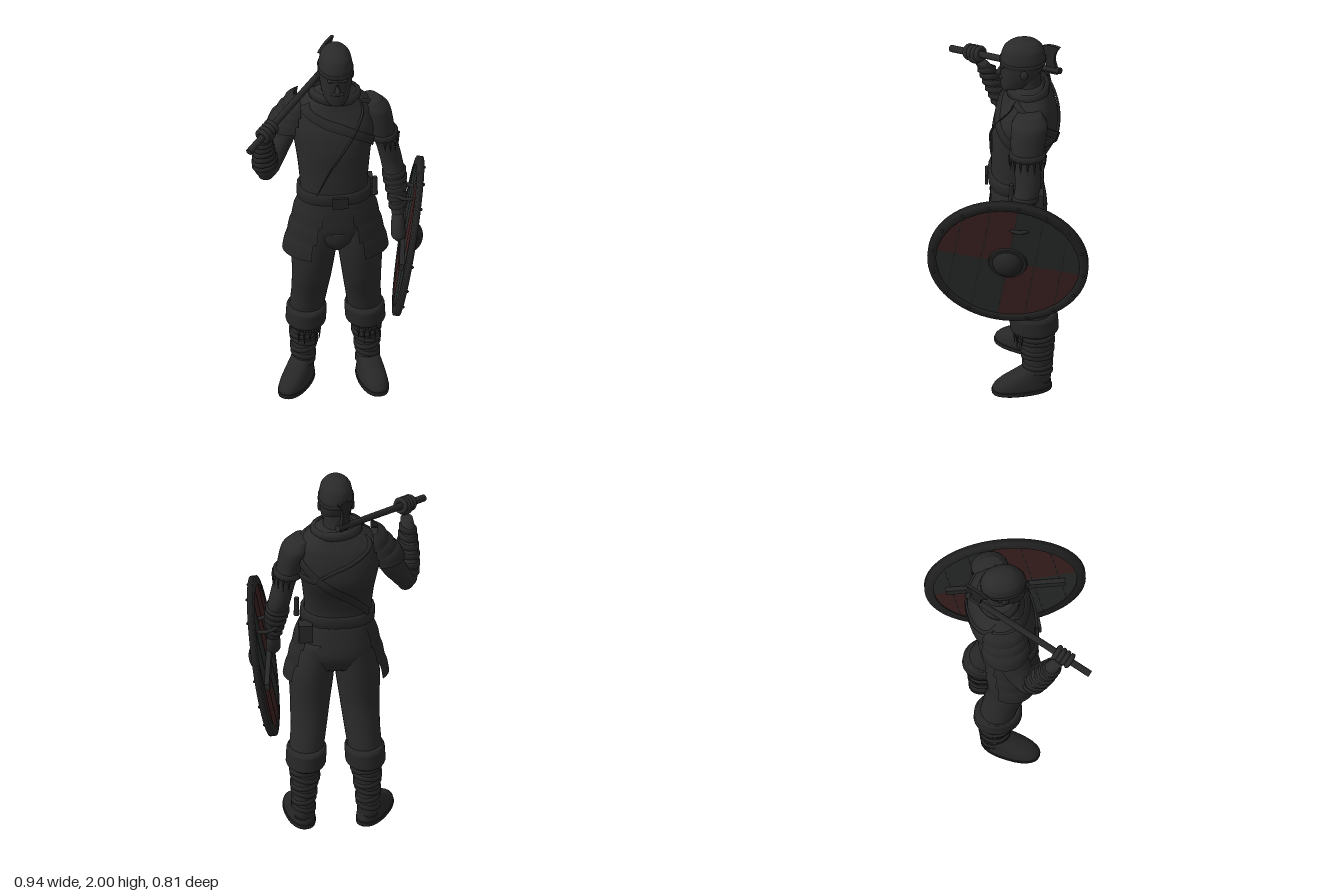
import * as THREE from 'three';

const mat = (name, color) => {
  const m = new THREE.MeshStandardMaterial({ color, side: THREE.DoubleSide });
  m.name = name;
  return m;
};
const V = (x, y, z) => new THREE.Vector3(x, y, z);

// Smooth sampling of rows [x, y, z, rx, rz], listed from top to bottom
function sampler(rows) {
  const centre = new THREE.CatmullRomCurve3(rows.map(r => V(r[0], r[1], r[2])));
  const radius = new THREE.CatmullRomCurve3(rows.map(r => V(r[3], r[4], 0)));
  return (t, a, grow = 0, power = 2) => {
    const c = centre.getPoint(t), r = radius.getPoint(t), e = 2 / power;
    const cs = Math.cos(a), sn = Math.sin(a);
    return V(c.x + Math.sign(cs) * Math.abs(cs) ** e * (r.x + grow), c.y,
      c.z + Math.sign(sn) * Math.abs(sn) ** e * (r.y + grow));
  };
}

// Surface from a grid of points; point(i, j) with i downwards, j around
function grid(n, m, point, closed, caps) {
  const pos = [], idx = [], w = closed ? m : m + 1;
  for (let i = 0; i <= n; i++) for (let j = 0; j < w; j++) pos.push(...point(i / n, j / m).toArray());
  for (let i = 0; i < n; i++) for (let j = 0; j < m; j++) {
    const a = i * w + j, b = i * w + (j + 1) % w;
    idx.push(a, b, a + w, b, b + w, a + w);
  }
  if (caps) for (const row of [0, n]) {
    const c = V(0, 0, 0), k = pos.length / 3;
    for (let j = 0; j < m; j++) c.add(point(row / n, j / m));
    pos.push(...c.divideScalar(m).toArray());
    for (let j = 0; j < m; j++) {
      const a = row * w + j, b = row * w + (j + 1) % m;
      row ? idx.push(k, a, b) : idx.push(k, b, a);
    }
  }
  const g = new THREE.BufferGeometry();
  g.setAttribute('position', new THREE.Float32BufferAttribute(pos, 3));
  g.setIndex(idx);
  g.computeVertexNormals();
  return g;
}
const loft = (rows, power = 2, seg = 28) => {
  const s = sampler(rows);
  return grid((rows.length - 1) * 5, seg, (u, v) => s(u, v * 2 * Math.PI, 0, power), true, true);
};
// Part of a lofted ring, for overlapping plates
const shell = (rows, a0, a1) => {
  const s = sampler(rows);
  return grid(6, 16, (u, v) => s(u, a0 + (a1 - a0) * v), false, false);
};
// Raised band wrapped round a limb at t, sloping sideways by tilt
const band = (rows, t, h, grow, tilt = 0, power = 2) => {
  const s = sampler(rows), ring = [[-1, -0.003], [-0.8, 1], [0.8, 1], [1, -0.003]];
  return grid(3, 24, (u, v) => {
    const [k, g] = ring[Math.round(u * 3)], a = v * 2 * Math.PI;
    const p = s(t, a, g > 0 ? grow : g, power);
    p.y += -k * h / 2 + tilt * Math.cos(a);
    return p;
  }, true, false);
};
const basis = (x, y, z) => new THREE.Quaternion().setFromRotationMatrix(new THREE.Matrix4().makeBasis(x, y, z));

export function createModel() {
  const root = new THREE.Group();
  const cloth = mat('charcoal cloth', 0x2a2a2a), leather = mat('dark leather', 0x272727);
  const red = mat('dark red paint', 0x3c2020), slate = mat('slate paint', 0x282b2b);
  const iron = mat('blackened iron', 0x232323);
  const add = (name, geo, m, parent = root, x = 0, y = 0, z = 0) => {
    const mesh = new THREE.Mesh(geo, m);
    mesh.name = name;
    mesh.position.set(x, y, z);
    parent.add(mesh);
    return mesh;
  };

  // Torso and hips
  const torso = [[.01, 1.74, -.1, .075, .075], [.01, 1.7, -.105, .135, .1], [0, 1.64, -.11, .205, .125],
    [0, 1.55, -.1, .215, .155], [0, 1.45, -.09, .195, .165], [0, 1.33, -.06, .178, .137],
    [0, 1.22, -.045, .17, .125], [.005, 1.12, -.05, .185, .135], [.01, 1, -.06, .195, .142], [.01, .9, -.06, .15, .11]];
  add('torso', loft(torso, 2.3, 40), cloth);
  add('collar', band(torso, .6 / 9, .045, .02, -.01), cloth);
  add('belt', band(torso, 6.35 / 9, .065, .014, 0, 2.3), leather);
  add('buckle', new THREE.BoxGeometry(.08, .06, .015), iron, root, .02, 1.18, .103);
  add('pouch', new THREE.BoxGeometry(.07, .1, .06), leather, root, .17, 1.13, -.15);
  add('knifeHandle', new THREE.CylinderGeometry(.012, .015, .1, 10), leather, root, .205, 1.2, -.02);

  // Straps laid over the torso from (row, angle) to (row, angle)
  const skin = sampler(torso);
  const strap = (r0, a0, r1, a1) => add('strap', grid(24, 4, (u, v) => {
    const k = [[-1, .001], [-1, .012], [1, .012], [1, .001], [-1, .001]][Math.round(v * 4)];
    return skin((r0 + (r1 - r0) * u + k[0] * .17) / 9, a0 + (a1 - a0) * u + k[0] * .06, k[1], 2.3);
  }, false, false), leather);
  strap(1, .6, 6, 2.05);
  strap(1, .6, 6, -2.5);
  strap(1.3, 2.7, 3.9, .3);
  strap(3.9, .3, 3.7, -1);
  strap(3.7, -1, 1.3, -2.74);

  // Head
  add('neck', loft([[.01, 1.82, -.1, .062, .07], [.01, 1.75, -.1, .066, .072], [.01, 1.68, -.105, .09, .08]]), cloth);
  const head = [[.012, 2, -.085, .012, .012], [.012, 1.985, -.085, .048, .065], [.012, 1.95, -.082, .076, .099],
    [.012, 1.89, -.08, .086, .113], [.012, 1.84, -.075, .084, .107], [.012, 1.79, -.06, .077, .092],
    [.012, 1.745, -.045, .066, .078], [.012, 1.71, -.03, .045, .056], [.012, 1.697, -.025, .02, .025]];
  add('head', loft(head, 2.2, 32), cloth);
  add('capHem', band(head, .4, .022, .005, -.004, 2.2), leather);
  const nose = add('nose', new THREE.ConeGeometry(.017, .06, 8), cloth, root, .012, 1.828, .034);
  nose.rotation.x = -.25;
  add('brow', new THREE.CapsuleGeometry(.011, .08, 4, 10), cloth, root, .012, 1.862, .024).rotation.z = Math.PI / 2;
  add('moustache', new THREE.CapsuleGeometry(.01, .045, 4, 10), cloth, root, .012, 1.785, .03).rotation.z = Math.PI / 2;
  for (const s of [-1, 1]) add('ear', new THREE.SphereGeometry(.02, 12, 8), cloth, root, .012 + s * .084, 1.835, -.085).scale.set(.5, 1.4, 1);

  // Legs, boots and hip plates
  for (const s of [1, -1]) {
    const fix = r => [s > 0 ? r[0] : -r[0] + .035, ...r.slice(1)];
    const leg = [[.1, 1.06, -.06, .09, .125], [.13, .87, -.06, .112, .128], [.142, .68, -.075, .1, .108],
      [.152, .54, -.11, .09, .094], [.165, .42, -.135, .085, .09], [.172, .3, -.145, .071, .086],
      [.178, .18, -.15, .058, .072], [.18, .05, -.15, .052, .066]].map(fix);
    add('leg', loft(leg), cloth);
    const cuff = [[.162, .45, -.132, .092, .107], [.163, .43, -.132, .101, .121],
      [.167, .36, -.135, .101, .122], [.168, .34, -.138, .085, .1]].map(fix);
    add('bootCuff', loft(cuff), leather);
    for (let i = 0; i < 6; i++) add('bootWrap', band(leg, (4.75 + i * .36) / 7, .026, .008, (i % 2 ? 1 : -1) * .01), leather);
    const cuffAt = sampler(cuff);
    for (let i = 0; i < 5; i++) {
      const p = cuffAt(.85, .7 + i * .35, -.01);
      add('cuffTassel', new THREE.ConeGeometry(.01, .09 + (i % 2) * .04, 6), leather, root, p.x, p.y - .04, p.z).rotation.x = Math.PI;
    }
    const foot = new THREE.Group();
    foot.name = 'foot';
    foot.position.set(leg[7][0], 0, -.15);
    foot.rotation.y = s > 0 ? .2 : -.5;
    root.add(foot);
    add('shoe', loft([[0, .14, 0, .05, .06], [0, .1, .035, .058, .1], [0, .065, .068, .064, .132],
      [0, .03, .08, .068, .15], [0, .003, .08, .066, .148]], 2.3), leather, foot);
    add('sole', loft([[0, .022, .08, .071, .153], [0, .011, .08, .072, .154], [0, 0, .08, .07, .152]], 2.3), iron, foot);

    // Three overlapping hip plates
    const mid = s > 0 ? .25 : Math.PI - .25;
    for (let k = 0; k < 3; k++) {
      const y = 1.14 - k * .095, r = .187 + k * .023;
      add('hipPlate', shell([[.01, y, -.06, r, .142 + k * .009], [.01, y - .06, -.06, r + .024, .153 + k * .009],
        [.01, y - .118, -.06, r + .034, .158 + k * .009]], mid - .95 + k * .08, mid + .95 - k * .08), leather);
    }
  }
  add('groinCloth', loft([[.01, .98, .03, .1, .05], [.01, .92, .03, .08, .045], [.01, .87, .02, .03, .03]]), cloth);

  // Left arm, hanging to the shield grip
  const leftArm = [[.19, 1.67, -.11, .045, .06], [.215, 1.61, -.11, .075, .092], [.245, 1.5, -.1, .066, .085],
    [.275, 1.39, -.1, .056, .068], [.297, 1.29, -.1, .055, .064], [.312, 1.2, -.075, .053, .058],
    [.32, 1.08, -.035, .038, .042], [.32, 1.02, -.01, .03, .035]];
  add('leftArm', loft(leftArm), cloth);
  add('armBand', band(leftArm, 2.3 / 7, .035, .012), leather);
  const leftAt = sampler(leftArm);
  for (let i = 0; i < 9; i++) {
    const p = leftAt(2.4 / 7, -1.6 + i * .4, .012);
    add('armTassel', new THREE.ConeGeometry(.008, .07, 6), leather, root, p.x, p.y - .03, p.z).rotation.x = Math.PI;
  }
  for (let i = 0; i < 5; i++) add('leftWrap', band(leftArm, (4.6 + i * .36) / 7, .028, .007, .008), leather);
  add('leftHand', loft([[.32, 1.04, -.015, .028, .035], [.318, .98, .01, .035, .045], [.318, .93, .03, .036, .04], [.32, .9, .03, .015, .02]]), cloth);

  // Right arm, bent up to the axe
  const rightUpper = [[-.18, 1.67, -.11, .045, .06], [-.215, 1.61, -.11, .075, .09], [-.25, 1.51, -.09, .07, .085],
    [-.295, 1.41, -.06, .065, .072], [-.335, 1.34, -.02, .062, .066], [-.345, 1.295, -.01, .035, .04]];
  const rightFore = [[-.358, 1.61, .125, .03, .032], [-.362, 1.57, .1, .036, .038], [-.36, 1.49, .06, .049, .05],
    [-.352, 1.4, .015, .057, .06], [-.345, 1.33, -.01, .055, .058], [-.34, 1.29, -.015, .03, .035]];
  add('rightUpperArm', loft(rightUpper), cloth);
  add('rightForearm', loft(rightFore), cloth);
  for (let i = 0; i < 6; i++) add('rightWrap', band(rightFore, (1.1 + i * .42) / 5, .03, .008, .012), leather);
  for (let k = 0; k < 3; k++) {
    const x = -.17 - k * .016, y = 1.71 - k * .045, r = .045 + k * .02;
    add('shoulderPlate', shell([[x, y, -.11, r - .02, .07 + k * .01], [x - .005, y - .03, -.11, r + .02, .1 + k * .008],
      [x - .01, y - .08, -.11, r + .036, .112 + k * .006]], Math.PI - 1.7, Math.PI + 1.7), leather);
  }

  // Axe over the right shoulder, with the hand round its haft
  const axe = new THREE.Group();
  axe.name = 'axe';
  const butt = V(-.455, 1.625, .272), dir = V(.475, .185, -.542).normalize();
  const side = V(0, 1, 0).cross(dir).normalize();
  axe.position.copy(butt);
  axe.quaternion.copy(basis(side, dir.clone().cross(side), dir));
  root.add(axe);
  add('haft', new THREE.CylinderGeometry(.016, .018, .74, 12).rotateX(Math.PI / 2), leather, axe, 0, 0, .37);
  const edge = new THREE.Shape();
  edge.moveTo(.655, -.022);
  edge.lineTo(.72, -.022);
  edge.lineTo(.72, .025);
  edge.quadraticCurveTo(.705, .08, .772, .134);
  edge.quadraticCurveTo(.71, .152, .643, .124);
  edge.quadraticCurveTo(.68, .08, .655, .025);
  add('axeBlade', new THREE.ExtrudeGeometry(edge, { depth: .016, bevelEnabled: false }).rotateY(-Math.PI / 2), iron, axe, .008);
  add('palm', new THREE.SphereGeometry(.045, 16, 12), cloth, axe, 0, -.012, .16).scale.set(.9, .9, 1.1);
  for (let i = 0; i < 4; i++) add('finger', new THREE.TorusGeometry(.03, .013, 8, 16), cloth, axe, 0, .003, .122 + i * .025);

  // Round shield on the left arm
  const shield = new THREE.Group();
  shield.name = 'shield';
  const n = V(1, -.17, .11).normalize(), fwd = V(-.11, 0, 1).addScaledVector(n, 0).normalize();
  fwd.addScaledVector(n, -fwd.dot(n)).normalize();
  shield.position.set(.37, .9, 0);
  shield.quaternion.copy(basis(n.clone().cross(fwd), n, fwd));
  root.add(shield);
  const face = new THREE.Group();
  face.name = 'shieldFace';
  face.rotation.y = -.16;
  shield.add(face);
  const q = Math.PI / 2;
  for (let i = 0; i < 4; i++) add('shieldQuarter', new THREE.CylinderGeometry(.37, .37, .024, 20, 1, false, i * q, q), i % 2 ? red : slate, face);
  for (const o of [-.27, -.135, 0, .135, .27]) add('plankSeam', new THREE.BoxGeometry(2 * Math.sqrt(.13 - o * o), .027, .005), iron, face, 0, 0, o);
  const rim = [[.36, -.018], [.405, -.014], [.405, .014], [.36, .018], [.36, -.018]].map(p => new THREE.Vector2(...p));
  add('shieldRim', new THREE.LatheGeometry(rim, 64), iron, face);
  add('bossFlange', new THREE.CylinderGeometry(.095, .1, .014, 32), iron, face, 0, .016);
  add('boss', new THREE.SphereGeometry(.078, 28, 12, 0, Math.PI * 2, 0, q), iron, face, 0, .015).scale.y = .75;
  for (let i = 0; i < 16; i++) {
    const a = i * Math.PI / 8;
    add('rivet', new THREE.SphereGeometry(.008, 8, 6), iron, face, Math.sin(a) * .383, .017, Math.cos(a) * .383);
  }
  add('gripBar', new THREE.BoxGeometry(.035, .025, .6), leather, shield, 0, -.03, 0);
  add('armLoop', new THREE.TorusGeometry(.07, .01, 8, 24).rotateY(q), leather, shield, -.22, -.05, -.06);
  return root;
}
